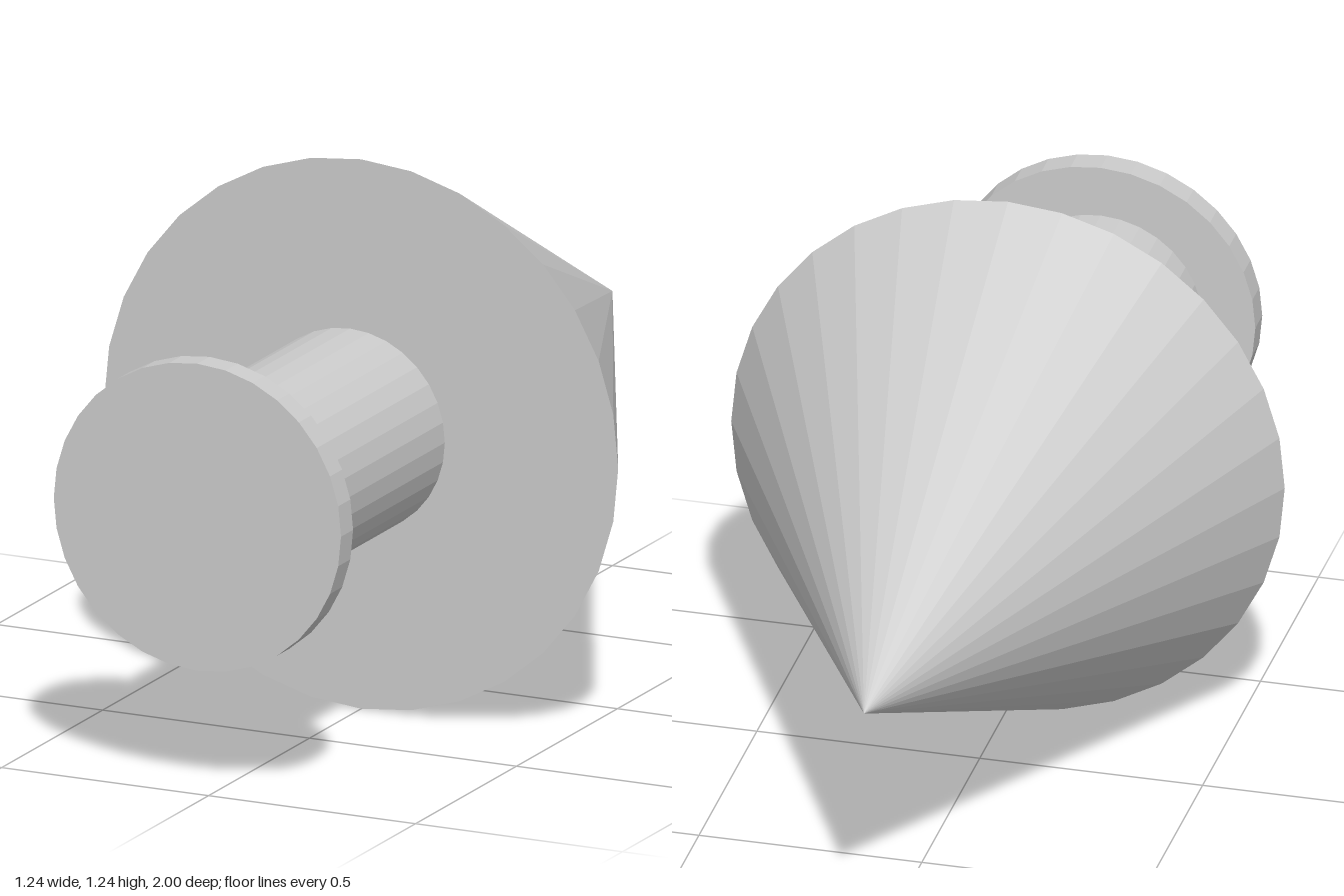
import * as THREE from 'three';

const SIDES = 32;

export function createModel() {
  const model = new THREE.Group();
  const material = new THREE.MeshStandardMaterial({ color: 0xcccccc, flatShading: true });

  // Adds a round part lying along z, between zFront and zBack
  function addRound(name, geometry, x, y, zFront, zBack) {
    geometry.rotateX(-Math.PI / 2);
    const mesh = new THREE.Mesh(geometry, material);
    mesh.name = name;
    mesh.position.set(x, y, (zFront + zBack) / 2);
    model.add(mesh);
  }

  // Pointed head, tip to the back
  addRound('coneHead', new THREE.ConeGeometry(0.621, 1.244, SIDES), 0, 0.623, 0.244, -1);

  // Shaft and end disc share an axis slightly off the cone's
  addRound('shaft', new THREE.CylinderGeometry(0.229, 0.229, 0.7, SIDES), -0.027, 0.629, 0.942, 0.242);
  addRound('endDisc', new THREE.CylinderGeometry(0.347, 0.347, 0.06, SIDES), -0.027, 0.628, 1, 0.94);

  return model;
}
